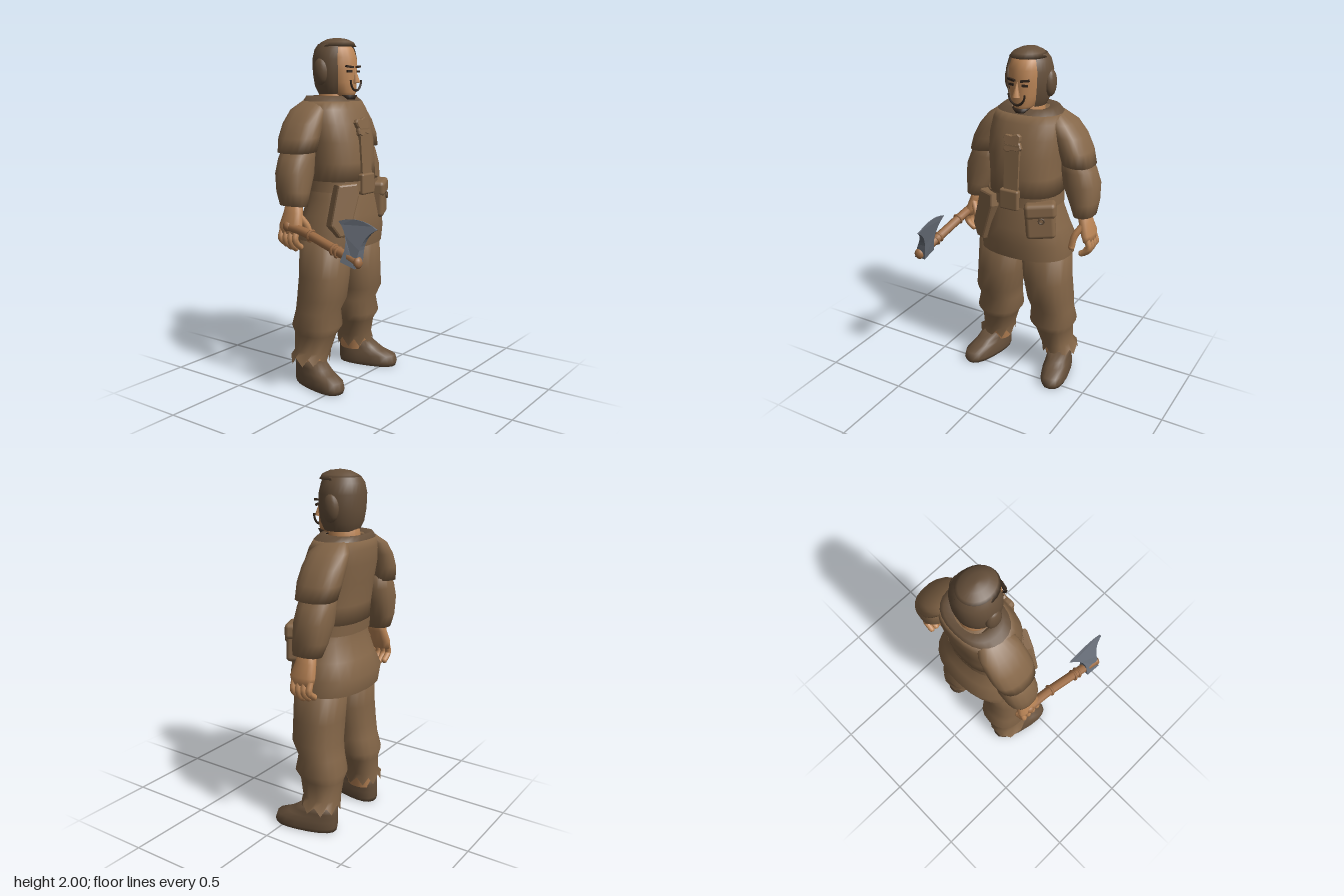
import * as THREE from 'three';
import { RoundedBoxGeometry } from 'three/addons/geometries/RoundedBoxGeometry.js';

const paint = (name, color) => {
  const m = new THREE.MeshStandardMaterial({ color, side: THREE.DoubleSide });
  m.name = name;
  return m;
};

const MID = 0.02; // body centre line in x

// Skin a stack of horizontal rings [y, centreX, frontZ, backZ, halfWidth], lowest first.
// open: half angle left open at the front; jag: zigzag of the lowest ring; slope: ring tilt in x.
function loft(rings, { n = 18, pow = 0.85, open = 0, jag = 0, slope = 0, cap = true } = {}) {
  const pos = [], idx = [], cols = open ? n + 1 : n;
  const bend = (v) => Math.sign(v) * Math.abs(v) ** pow;
  rings.forEach(([y, cx, zf, zb, rx], i) => {
    for (let k = 0; k < cols; k++) {
      const a = Math.PI / 2 + open + (k / n) * (2 * Math.PI - 2 * open);
      const dx = bend(Math.cos(a)) * rx;
      const dy = dx * slope + (i === 0 && k % 2 ? jag : 0);
      pos.push(cx + dx, y + dy, (zf + zb) / 2 + bend(Math.sin(a)) * (zf - zb) / 2);
    }
  });
  for (let i = 0; i < rings.length - 1; i++) {
    for (let k = 0; k < n; k++) {
      const a = i * cols + k, b = i * cols + (k + 1) % cols;
      idx.push(a, a + cols, b, b, a + cols, b + cols);
    }
  }
  if (cap && !open) {
    const top = rings.at(-1), t = pos.length / 3, s = (rings.length - 1) * cols;
    pos.push(top[1], top[0], (top[2] + top[3]) / 2, rings[0][1], rings[0][0], (rings[0][2] + rings[0][3]) / 2);
    for (let k = 0; k < n; k++) {
      const j = (k + 1) % n;
      idx.push(s + k, t, s + j);
      if (!jag) idx.push(k, j, t + 1);
    }
  }
  const g = new THREE.BufferGeometry();
  g.setAttribute('position', new THREE.Float32BufferAttribute(pos, 3));
  g.setIndex(idx);
  g.computeVertexNormals();
  return g;
}

const tube = (pts, r, seg = 8) => new THREE.TubeGeometry(
  new THREE.CatmullRomCurve3(pts.map((p) => new THREE.Vector3(...p))), seg, r, 8);

export function createModel() {
  const model = new THREE.Group();
  const cloth = paint('brown cloth', 0x846648);
  const dark = paint('dark brown leather', 0x654f3a);
  const skin = paint('skin', 0xbc8657);
  const hair = paint('dark hair', 0x33261c);
  const wood = paint('axe wood', 0x9c6c45);
  const metal = paint('steel', 0x666c76);

  const add = (name, geo, mat, p = [0, 0, 0], r = [0, 0, 0], s = [1, 1, 1]) => {
    const m = new THREE.Mesh(geo, mat);
    m.name = name;
    m.position.set(...p);
    m.rotation.set(...r);
    m.scale.set(...s);
    model.add(m);
    return m;
  };
  const ball = (name, mat, p, s) => add(name, new THREE.SphereGeometry(1, 14, 10), mat, p, [0, 0, 0], s);

  // Tunic, collar and skirt
  add('tunic', loft([
    [1.18, 0.03, 0.035, -0.31, 0.215], [1.3, 0.025, 0.035, -0.32, 0.21],
    [1.42, MID, 0.025, -0.33, 0.22], [1.52, MID, 0, -0.345, 0.225],
    [1.6, MID, -0.03, -0.345, 0.215], [1.645, MID, -0.055, -0.335, 0.195]], { n: 24 }), cloth);
  add('collar', loft([
    [1.645, MID, -0.055, -0.335, 0.195], [1.675, MID, -0.085, -0.325, 0.16],
    [1.665, MID, -0.1, -0.29, 0.105]], { n: 24, cap: false }), dark);
  add('skirt', loft([
    [0.815, 0.03, 0.05, -0.355, 0.285], [0.91, 0.033, 0.065, -0.375, 0.282],
    [1.0, 0.033, 0.06, -0.335, 0.255], [1.1, 0.03, 0.045, -0.3, 0.228],
    [1.17, 0.03, 0.035, -0.295, 0.21], [1.22, 0.03, 0.02, -0.29, 0.195]], { n: 24, cap: false }), cloth);
  add('belt', loft([
    [1.14, 0.03, 0.05, -0.31, 0.225], [1.2, 0.03, 0.05, -0.315, 0.22]], { n: 24, cap: false }), cloth);
  add('buckle', new RoundedBoxGeometry(0.12, 0.12, 0.04, 2, 0.012), cloth, [0.02, 1.18, 0.045]);
  add('placket', new THREE.BoxGeometry(0.09, 0.27, 0.02), cloth, [0.025, 1.36, 0.03], [-0.07, 0, 0]);

  // Chest ornament with a wavy rim
  const rim = new THREE.Shape(Array.from({ length: 20 }, (_, i) => {
    const a = (i / 20) * Math.PI * 2, r = 0.052 + 0.012 * Math.cos(4 * a + Math.PI);
    return new THREE.Vector2(Math.cos(a) * r, Math.sin(a) * r * 0.9);
  }));
  add('chestOrnament', new THREE.ExtrudeGeometry(rim, {
    depth: 0.015, bevelSize: 0.005, bevelThickness: 0.008, bevelSegments: 1 }), cloth, [MID, 1.5, 0.005], [-0.2, 0, 0.15]);

  // Belt pouches
  add('leftPouch', new RoundedBoxGeometry(0.17, 0.2, 0.09, 3, 0.025), cloth, [0.195, 1.07, 0.005], [0, 0.45, 0.08]);
  add('leftPouchFlap', new RoundedBoxGeometry(0.18, 0.09, 0.1, 2, 0.025), cloth, [0.195, 1.14, 0.008], [0, 0.45, 0.08]);
  add('pouchClasp', new THREE.TorusGeometry(0.015, 0.006, 6, 12), dark, [0.225, 1.09, 0.05], [0, 0.45, 0]);
  const flap = new THREE.Shape([[-0.03, 0.14], [0.07, 0.14], [0.075, 0.08], [0, -0.13], [-0.05, -0.13], [-0.09, -0.07]]
    .map((p) => new THREE.Vector2(...p)));
  add('rightPouch', new THREE.ExtrudeGeometry(flap, {
    depth: 0.05, bevelSize: 0.012, bevelThickness: 0.015, bevelSegments: 2 }), cloth, [-0.135, 1.035, -0.015], [-0.08, -0.45, 0]);

  // Neck, head and face
  add('neck', loft([[1.6, MID, -0.09, -0.28, 0.1], [1.66, MID, -0.1, -0.28, 0.08],
    [1.76, MID, -0.1, -0.27, 0.075]], { pow: 1 }), skin);
  add('head', loft([
    [1.665, MID, -0.055, -0.12, 0.035], [1.695, MID, -0.04, -0.2, 0.066], [1.75, MID, -0.04, -0.25, 0.086],
    [1.82, MID, -0.04, -0.27, 0.098], [1.89, MID, -0.045, -0.27, 0.1], [1.94, MID, -0.065, -0.27, 0.09],
    [1.97, MID, -0.1, -0.25, 0.06]], { pow: 0.95 }), skin);
  add('nose', new THREE.ConeGeometry(0.022, 0.085, 6), skin, [MID, 1.79, -0.028], [-0.15, 0, 0]);
  add('moustache', new THREE.TorusGeometry(0.05, 0.006, 6, 16, Math.PI), hair, [MID, 1.765, -0.028], [0, 0, Math.PI], [1, 1.2, 1]);
  add('chinBeard', loft([[1.655, MID, -0.045, -0.1, 0.03], [1.68, MID, -0.034, -0.13, 0.05]]), hair);
  for (const s of [-1, 1]) {
    add('brow', new THREE.BoxGeometry(0.05, 0.011, 0.016), hair, [MID + s * 0.042, 1.838, -0.042], [0, s * 0.25, s * 0.12]);
    add('eye', new THREE.BoxGeometry(0.034, 0.012, 0.009), hair, [MID + s * 0.042, 1.812, -0.042], [0, s * 0.25, 0]);
  }

  // Hood, open around the face, with ear pads
  add('hood', loft([
    [1.685, MID, -0.08, -0.27, 0.095], [1.73, MID, -0.06, -0.292, 0.118], [1.8, MID, -0.05, -0.303, 0.13],
    [1.88, MID, -0.05, -0.305, 0.133], [1.935, MID, -0.06, -0.295, 0.116], [1.965, MID, -0.075, -0.275, 0.094]],
    { pow: 1, open: 0.78, n: 24 }), dark);
  add('hoodCrown', loft([
    [1.95, MID, -0.048, -0.285, 0.106], [1.975, MID, -0.06, -0.262, 0.083],
    [1.993, MID, -0.1, -0.225, 0.045], [2, MID, -0.15, -0.18, 0.01]], { pow: 1, n: 24 }), dark);
  for (const s of [-1, 1]) ball('earPad', dark, [MID + s * 0.125, 1.81, -0.185], [0.03, 0.075, 0.048]);

  for (const s of [-1, 1]) {
    const x = (d) => MID + s * d;

    // Arms
    add('sleeve', loft([
      [1.37, x(0.3), -0.1, -0.33, 0.09], [1.45, x(0.277), -0.095, -0.345, 0.09], [1.53, x(0.238), -0.1, -0.345, 0.088],
      [1.6, x(0.19), -0.11, -0.335, 0.077], [1.65, x(0.14), -0.15, -0.29, 0.05]], { slope: s * -0.06 }), cloth);
    add('forearm', loft([
      [1.075, x(0.357), -0.115, -0.28, 0.06], [1.15, x(0.345), -0.115, -0.305, 0.082],
      [1.25, x(0.322), -0.115, -0.32, 0.104], [1.33, x(0.3), -0.12, -0.32, 0.095],
      [1.42, x(0.27), -0.13, -0.31, 0.07]], { slope: s * 0.08 }), cloth);

    // Hands
    add('palm', loft([
      [0.925, x(0.395), -0.125, -0.265, 0.024], [0.97, x(0.39), -0.115, -0.27, 0.034],
      [1.04, x(0.365), -0.135, -0.255, 0.036], [1.11, x(0.35), -0.15, -0.245, 0.036]], { n: 12 }), skin);
    for (let i = 0; i < 4; i++) {
      const z = -0.145 - i * 0.034, low = 0.835 + Math.abs(i - 1.2) * 0.012;
      add('finger', tube([[x(0.395), 0.95, z], [x(0.412), 0.895, z], [x(0.395), low + 0.02, z], [x(0.368), low, z]], 0.018), skin);
      ball('fingertip', skin, [x(0.368), low, z], [0.018, 0.018, 0.018]);
    }
    add('thumb', tube([[x(0.365), 1.02, -0.15], [x(0.33), 0.96, -0.125], [x(0.315), 0.89, -0.12]], 0.02), skin);
    ball('thumbTip', skin, [x(0.315), 0.89, -0.12], [0.02, 0.022, 0.02]);

    // Legs with a fold below the knee and a ragged hem
    add('trouserLeg', loft([
      [0.125, x(0.225), -0.09, -0.305, 0.108], [0.2, x(0.207), -0.085, -0.3, 0.093],
      [0.3, x(0.19), -0.06, -0.305, 0.108], [0.35, x(0.186), -0.03, -0.318, 0.137],
      [0.44, x(0.18), -0.045, -0.295, 0.127], [0.52, x(0.177), -0.003, -0.285, 0.135],
      [0.65, x(0.158), 0, -0.28, 0.143], [0.86, x(0.142), 0, -0.285, 0.146]], { jag: 0.05 }), cloth);
    add('ankle', loft([[0.1, x(0.215), -0.12, -0.28, 0.075], [0.19, x(0.207), -0.1, -0.29, 0.085]], { cap: false }), skin);

    // Shoes, toes turned out
    add('shoe', loft([
      [0, 0, 0.185, -0.18, 0.075], [0.025, 0, 0.193, -0.185, 0.084], [0.065, 0, 0.18, -0.185, 0.08],
      [0.09, 0, 0.11, -0.185, 0.074], [0.115, 0, 0.07, -0.185, 0.07],
      [0.15, 0, 0.02, -0.18, 0.068]], { pow: 0.8 }), dark, [x(0.247), 0, -0.115], [0, s * 0.23, 0]);
  }

  // Axe handle with bands
  const tail = [-0.38, 0.965, -0.2], tip = [-0.432, 0.838, 0.31];
  add('axeHandle', tube([tail, [-0.385, 0.945, -0.08], [-0.405, 0.895, 0.1], tip], 0.027, 14), wood);
  ball('handleKnob', wood, tail, [0.033, 0.033, 0.033]);
  ball('handleEnd', wood, tip, [0.03, 0.032, 0.022]);
  for (const [px, py, pz] of [[-0.389, 0.935, -0.035], [-0.412, 0.882, 0.14], [-0.415, 0.872, 0.17]]) {
    add('handleBand', new THREE.TorusGeometry(0.027, 0.008, 6, 14), wood, [px, py, pz], [0.28, -0.1, 0]);
  }

  // Axe blade: profile in z and y, thinned toward the edge and leaning inward
  const b = new THREE.Shape();
  b.moveTo(0.215, 0.835);
  b.lineTo(0.31, 0.81);
  b.lineTo(0.315, 0.88);
  b.quadraticCurveTo(0.315, 0.97, 0.39, 1.01);
  b.quadraticCurveTo(0.27, 1.075, 0.14, 1.03);
  b.quadraticCurveTo(0.225, 0.97, 0.225, 0.89);
  const blade = new THREE.ExtrudeGeometry(b, { depth: 0.07, bevelEnabled: false, curveSegments: 8 });
  blade.translate(0, 0, -0.035).rotateY(-Math.PI / 2);
  const v = blade.attributes.position;
  for (let i = 0; i < v.count; i++) {
    const t = Math.min(Math.max((v.getY(i) - 0.83) / 0.2, 0), 1);
    v.setX(i, v.getX(i) * (1 - 0.92 * t) - 0.43 + 0.06 * t);
  }
  blade.computeVertexNormals();
  add('axeBlade', blade, metal);

  return model;
}
